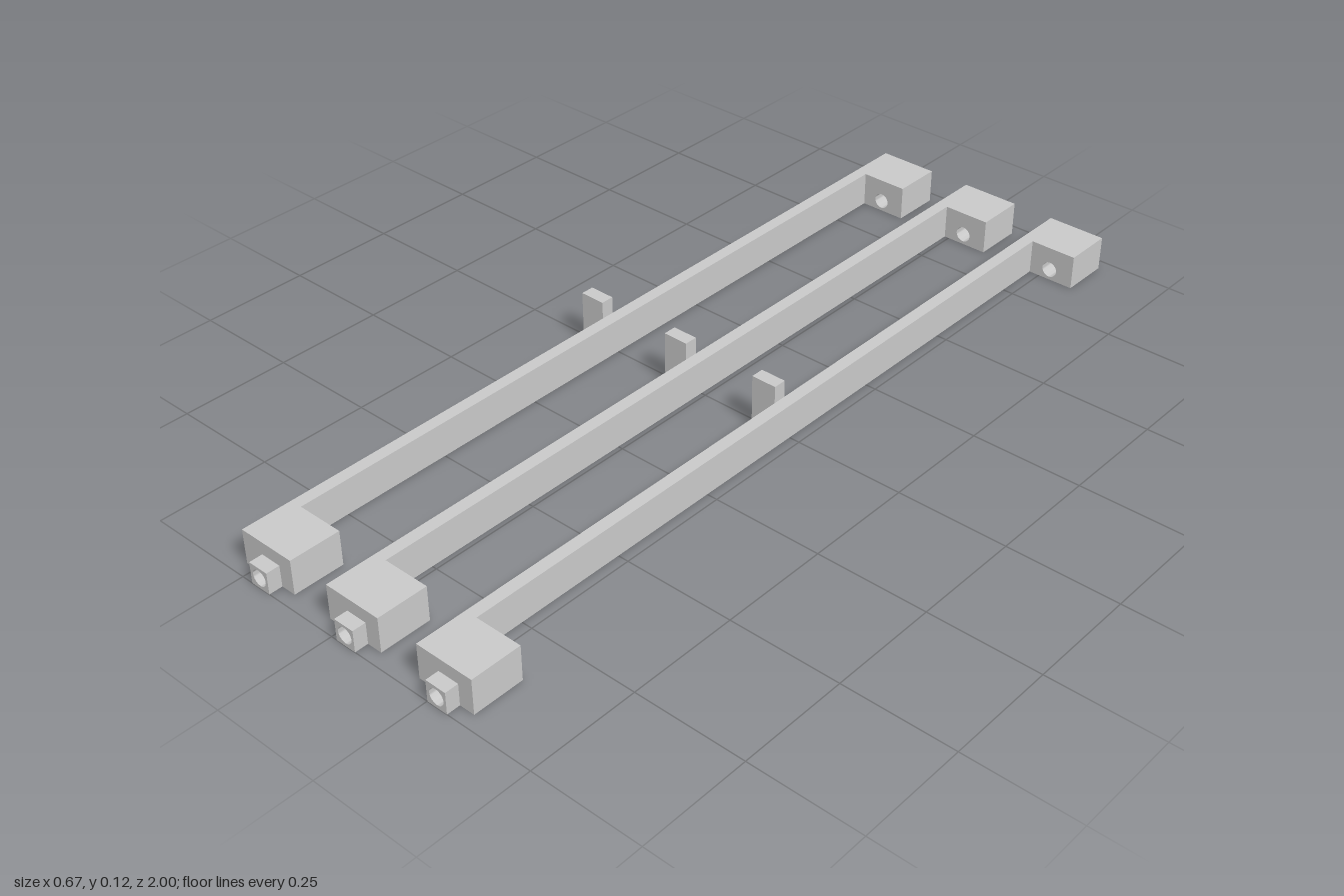
import * as THREE from 'three';
import { toCreasedNormals } from 'three/addons/utils/BufferGeometryUtils.js';

const HOLE = { x: 0.039, y: 0.025, r: 0.018 };

// Rectangular block from z0 to z1 with the round bore running through it
function boredBlock(x0, x1, height, z0, z1) {
  const shape = new THREE.Shape();
  shape.moveTo(x0, 0);
  shape.lineTo(x1, 0);
  shape.lineTo(x1, height);
  shape.lineTo(x0, height);
  shape.closePath();
  const bore = new THREE.Path();
  bore.absarc(HOLE.x, HOLE.y, HOLE.r, 0, Math.PI * 2, true);
  shape.holes.push(bore);
  const geo = new THREE.ExtrudeGeometry(shape, { depth: z1 - z0, bevelEnabled: false, curveSegments: 16 });
  geo.translate(0, 0, z0);
  return toCreasedNormals(geo, 0.5);
}

// Axis-aligned box given by its limits
function boxBetween(x0, x1, y0, y1, z0, z1) {
  const geo = new THREE.BoxGeometry(x1 - x0, y1 - y0, z1 - z0);
  geo.translate((x0 + x1) / 2, (y0 + y1) / 2, (z0 + z1) / 2);
  return geo;
}

export function createModel() {
  const model = new THREE.Group();
  model.name = 'bracketSet';
  const grey = new THREE.MeshStandardMaterial({ color: 0xc8c8c8 });
  grey.name = 'lightGrey';

  const parts = [
    ['rail', boxBetween(-0.039, -0.011, 0, 0.079, -0.855, 0.855)],
    ['middleTab', boxBetween(-0.098, -0.039, 0, 0.118, -0.015, 0.015)],
    // Bored end blocks with a smaller square boss on each outer face
    ['frontEndBlock', boredBlock(-0.039, 0.098, 0.079, 0.855, 0.97)],
    ['frontBoss', boredBlock(0.014, 0.063, 0.049, 0.97, 1)],
    ['backEndBlock', boredBlock(-0.039, 0.098, 0.079, -0.97, -0.855)],
    ['backBoss', boredBlock(0.014, 0.063, 0.049, -1, -0.97)],
  ];

  // Three identical brackets side by side
  ['right', 'middle', 'left'].forEach((side, i) => {
    const bracket = new THREE.Group();
    bracket.name = side + 'Bracket';
    bracket.position.x = (i - 1) * 0.2365;
    for (const [name, geo] of parts) {
      const mesh = new THREE.Mesh(geo, grey);
      mesh.name = name;
      bracket.add(mesh);
    }
    model.add(bracket);
  });
  return model;
}
